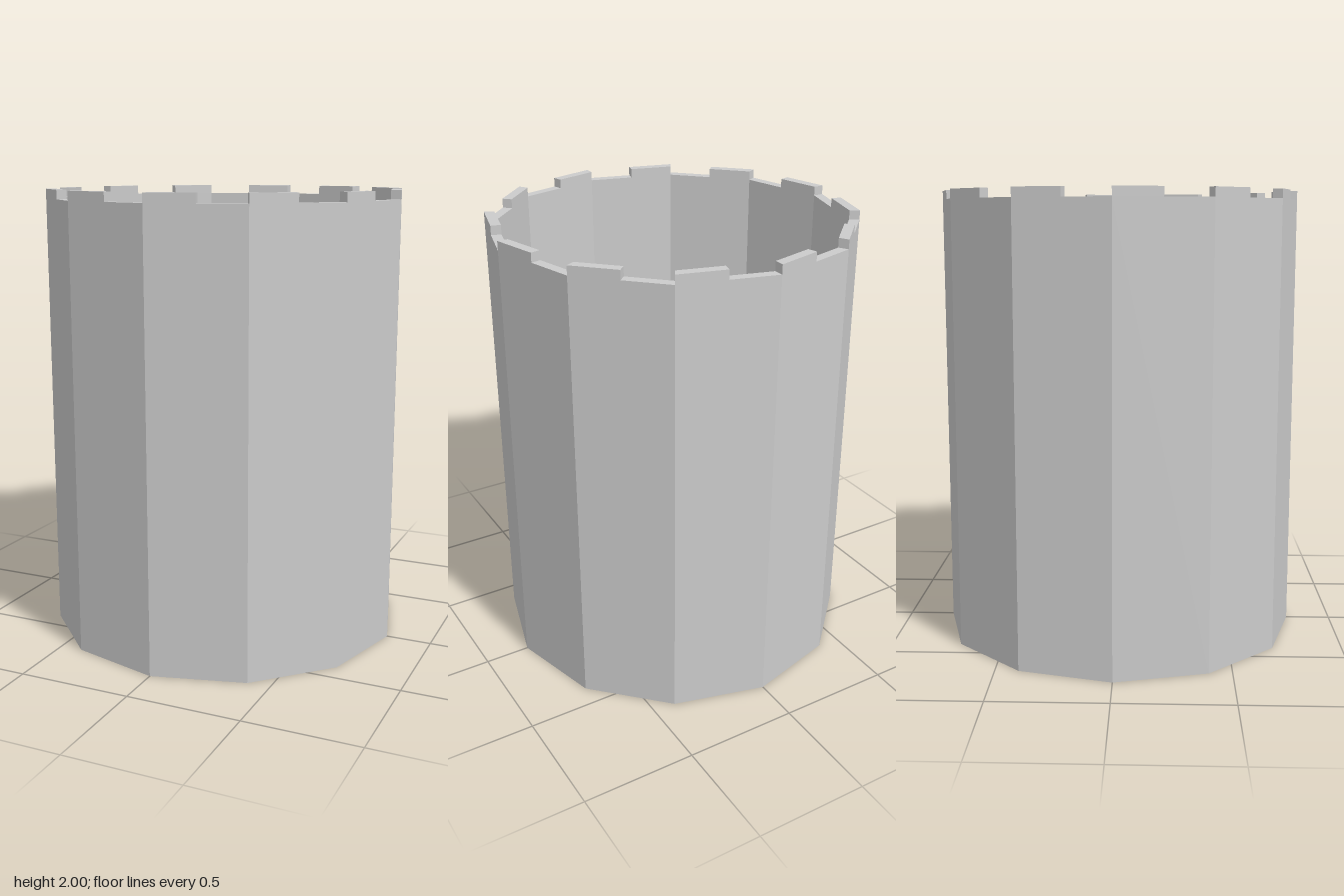
import * as THREE from 'three';

const SIDES = 12;
const OUTER = 0.8, INNER = 0.755;   // corner radii of the wall
const RIM = 1.96, TOP = 2, FLOOR = 0.05;

export function createModel() {
  const group = new THREE.Group();
  group.name = 'notchedTower';
  const material = new THREE.MeshStandardMaterial({ color: 0xcccccc, flatShading: true });

  // Hollow twelve-sided body: base, outer wall, rim, inner wall, floor
  const profile = [
    [0, 0], [OUTER, 0], [OUTER, RIM], [INNER, RIM], [INNER, FLOOR], [0, FLOOR],
  ].map(([r, y]) => new THREE.Vector2(r, y));
  const bodyGeometry = new THREE.LatheGeometry(profile, SIDES).toNonIndexed();
  bodyGeometry.computeVertexNormals();
  const body = new THREE.Mesh(bodyGeometry, material);
  body.name = 'body';
  group.add(body);

  // Raised tooth: runs from a corner to the middle of one side
  const step = (Math.PI * 2) / SIDES;
  const corner = new THREE.Vector2(0, -1);
  const next = new THREE.Vector2(Math.sin(step), -Math.cos(step));
  const middle = corner.clone().lerp(next, 0.5);
  const outline = new THREE.Shape([
    corner.clone().multiplyScalar(OUTER),
    middle.clone().multiplyScalar(OUTER),
    middle.clone().multiplyScalar(INNER),
    corner.clone().multiplyScalar(INNER),
  ]);
  const toothGeometry = new THREE.ExtrudeGeometry(outline, { depth: TOP - RIM, bevelEnabled: false });
  toothGeometry.rotateX(-Math.PI / 2).translate(0, RIM, 0);

  // One tooth per side, all turning the same way round
  const battlement = new THREE.Group();
  battlement.name = 'battlement';
  for (let i = 0; i < SIDES; i++) {
    const tooth = new THREE.Mesh(toothGeometry, material);
    tooth.name = 'tooth' + (i + 1);
    tooth.rotation.y = i * step;
    battlement.add(tooth);
  }
  group.add(battlement);

  return group;
}
